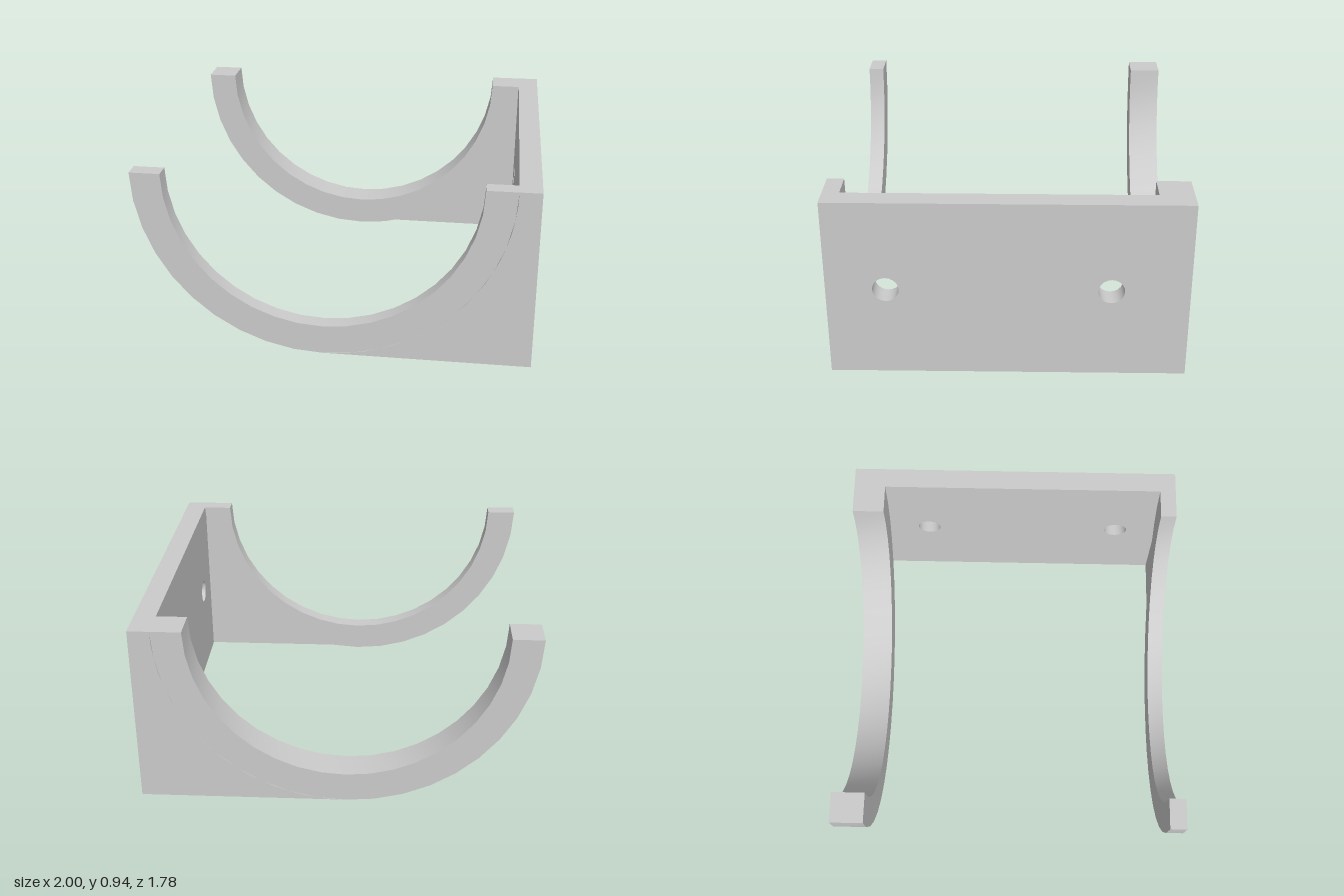
import * as THREE from 'three';
import { toCreasedNormals } from 'three/addons/utils/BufferGeometryUtils.js';

const CX = -0.055, TOP = 0.945; // centre of the cradle arcs
const OUTER = 0.945, INNER = 0.79;
const PLATE_IN = 0.89, PLATE_OUT = 1, HALF_Z = 0.89;

export function createModel() {
  const model = new THREE.Group();
  const material = new THREE.MeshStandardMaterial({ color: 0xcccccc });

  const extrude = (name, shape, depth, z) => {
    const geometry = new THREE.ExtrudeGeometry(shape, { depth, bevelEnabled: false, curveSegments: 10 });
    const mesh = new THREE.Mesh(toCreasedNormals(geometry, 0.6), material);
    mesh.name = name;
    mesh.position.z = z;
    model.add(mesh);
    return mesh;
  };

  // Half-ring cradle, open at the top
  const ring = new THREE.Shape();
  ring.absarc(CX, TOP, OUTER, Math.PI, Math.PI * 2, false);
  ring.absarc(CX, TOP, INNER, Math.PI * 2, Math.PI, true);
  ring.closePath();

  // Gusset filling the corner between cradle and plate
  const gusset = new THREE.Shape();
  gusset.absarc(CX, TOP, OUTER, Math.PI * 2, Math.PI * 1.5, true);
  gusset.lineTo(PLATE_IN, 0);
  gusset.closePath();

  // The back arm is twice as deep as the front one; gussets are set in from the inner faces
  extrude('frontCradle', ring, 0.085, HALF_Z - 0.085);
  extrude('frontGusset', gusset, 0.06, HALF_Z - 0.06);
  extrude('backCradle', ring, 0.17, -HALF_Z);
  extrude('backGusset', gusset, 0.11, -HALF_Z);

  // Mounting plate with two screw holes, drawn in (-z, y) and turned to face +x
  const plate = new THREE.Shape();
  plate.moveTo(-HALF_Z, 0);
  plate.lineTo(HALF_Z, 0);
  plate.lineTo(HALF_Z, TOP);
  plate.lineTo(-HALF_Z, TOP);
  plate.closePath();
  for (const z of [0.595, -0.505]) {
    const hole = new THREE.Path();
    hole.absarc(-z, 0.475, 0.065, 0, Math.PI * 2, true);
    plate.holes.push(hole);
  }
  const mount = extrude('mountingPlate', plate, PLATE_OUT - PLATE_IN, 0);
  mount.rotation.y = Math.PI / 2;
  mount.position.x = PLATE_IN;

  return model;
}
